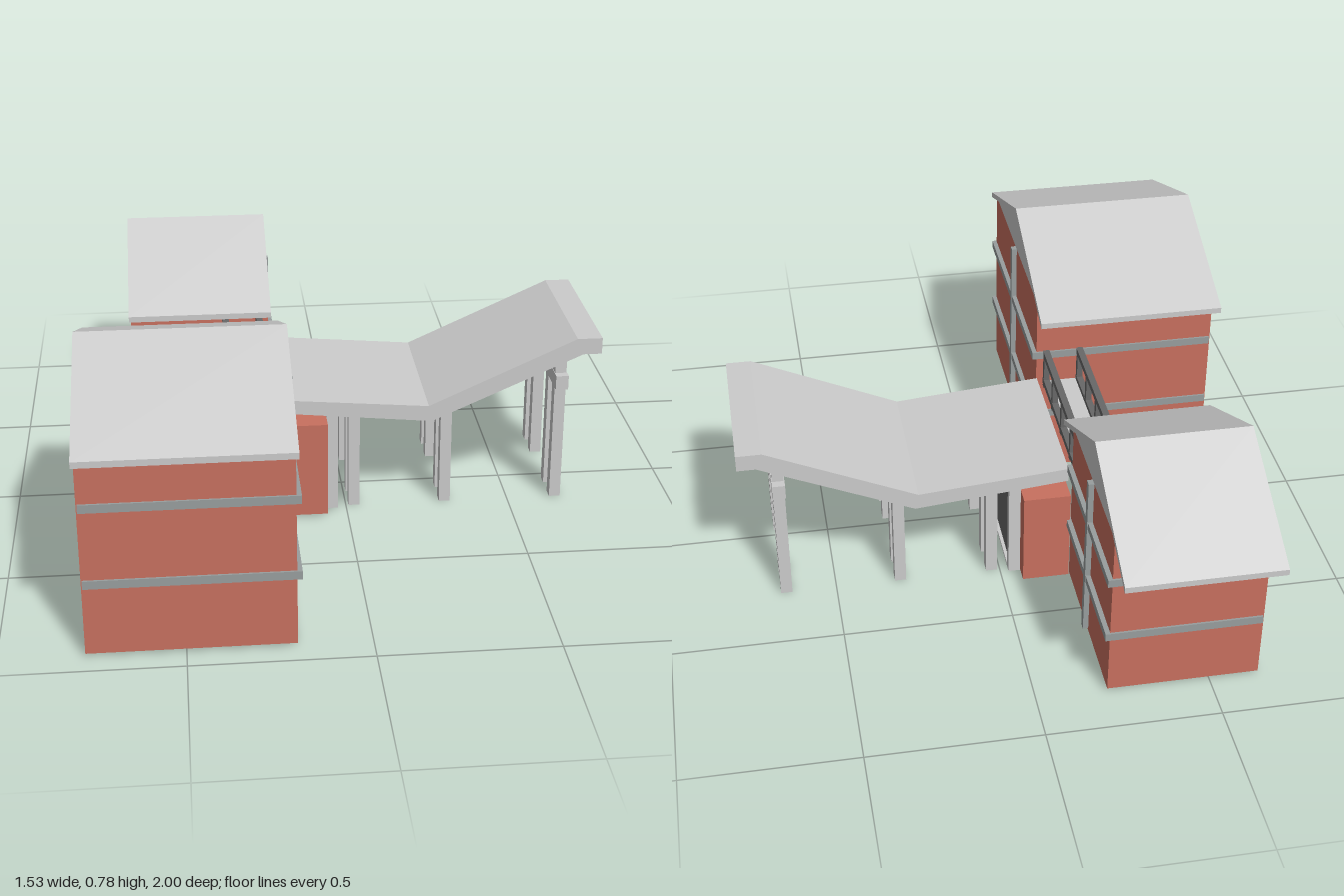
import * as THREE from 'three';

const mat = (color) => new THREE.MeshStandardMaterial({ color, flatShading: true });
const GREY = mat(0xcccccc), BRICK = mat(0xc8705f), TRIM = mat(0x989e9e), DARK = mat(0x686868);

// Box given by its min and max on each axis
function box(parent, name, material, x0, x1, y0, y1, z0, z1) {
  const m = new THREE.Mesh(new THREE.BoxGeometry(x1 - x0, y1 - y0, z1 - z0), material);
  m.position.set((x0 + x1) / 2, (y0 + y1) / 2, (z0 + z1) / 2);
  m.name = name;
  parent.add(m);
}

function extrude(points, depth) {
  const shape = new THREE.Shape(points.map(([a, b]) => new THREE.Vector2(a, b)));
  return new THREE.ExtrudeGeometry(shape, { depth, bevelEnabled: false });
}

// Profile of [z, y] points swept along x
function sweepX(parent, name, material, points, x0, x1) {
  const g = extrude(points.map(([z, y]) => [-z, y]), x1 - x0);
  g.rotateY(Math.PI / 2).translate(x0, 0, 0);
  const m = new THREE.Mesh(g, material);
  m.name = name;
  parent.add(m);
}

// Gabled brick block with trim bands and a chevron roof
function building(o) {
  const g = new THREE.Group();
  g.name = o.name;
  const { x0, x1, z0, z1, wall, ridge, ridgeZ, eave, e0, e1, bands } = o;
  box(g, 'brickWalls', BRICK, x0 + 0.003, x1 - 0.004, 0.012, wall, z0, z1);
  sweepX(g, 'gable', GREY, [[z0, wall], [ridgeZ, ridge - 0.016], [z1, wall]], x0 + 0.003, x1 - 0.004);
  const t = 0.018;
  sweepX(g, 'roof', GREY, [[e0, eave], [ridgeZ, ridge], [e1, eave],
    [e1, eave - t], [ridgeZ, ridge - t], [e0, eave - t]], x0, x1);
  for (const y of bands) {
    box(g, 'trimBand', TRIM, x0 + 0.006, x1 + 0.01, y - 0.012, y + 0.012, z0 - 0.006, z1 + 0.006);
  }
  const c = (z0 + z1) / 2;
  box(g, 'verticalTrim', TRIM, x1 - 0.01, x1 + 0.012, 0.02, wall, c - 0.011, c + 0.011);
  return g;
}

export function createModel() {
  const model = new THREE.Group();
  model.name = 'schoolBuildings';

  model.add(building({ name: 'tallBuilding', x0: -0.77, x1: -0.2, z0: 0.21, z1: 0.93, wall: 0.632,
    ridge: 0.78, ridgeZ: 0.563, eave: 0.612, e0: 0.125, e1: 1, bands: [0.445, 0.222] }));
  model.add(building({ name: 'lowBuilding', x0: -0.645, x1: -0.2, z0: -0.86, z1: -0.34, wall: 0.545,
    ridge: 0.69, ridgeZ: -0.612, eave: 0.497, e0: -1, e1: -0.225, bands: [0.4, 0.208] }));

  // Entrance block with door frame and dark doors
  box(model, 'entranceBlock', BRICK, -0.2, -0.06, 0.01, 0.308, -0.35, 0.215);
  box(model, 'doors', DARK, -0.065, -0.035, 0.005, 0.308, -0.275, 0.145);
  for (const z of [-0.285, 0.155]) {
    box(model, 'doorPost', GREY, -0.06, -0.025, 0.003, 0.314, z - 0.012, z + 0.012);
  }
  box(model, 'threshold', GREY, -0.06, -0.025, 0.003, 0.012, -0.28, 0.15);

  // Bent canopy
  const canopy = new THREE.Mesh(extrude([[-0.2, 0.335], [0.257, 0.29], [0.71, 0.49], [0.765, 0.49],
    [0.765, 0.54], [0.69, 0.54], [0.247, 0.34], [-0.2, 0.378]], 0.49), GREY);
  canopy.position.z = -0.31;
  canopy.name = 'canopy';
  model.add(canopy);

  // Three rows of paired columns under the canopy
  const mid = -0.065;
  for (const [x, top] of [[0.025, 0.316], [0.305, 0.315], [0.65, 0.475]]) {
    for (const dz of [-0.2, -0.108, 0.108, 0.2]) {
      const z = mid + dz;
      box(model, 'column', GREY, x - 0.017, x + 0.017, 0.003, top, z - 0.018, z + 0.018);
    }
  }
  box(model, 'crossBeam', GREY, 0.631, 0.669, 0.375, 0.42, mid - 0.243, mid + 0.243);

  // Footbridge between the two buildings
  const bridge = new THREE.Group();
  bridge.name = 'footbridge';
  box(bridge, 'bridgeDeck', GREY, -0.345, -0.23, 0.325, 0.345, -0.345, 0.215);
  for (const x of [-0.342, -0.235]) {
    for (const y of [0.35, 0.45]) {
      box(bridge, 'rail', DARK, x - 0.01, x + 0.01, y - 0.01, y + 0.01, -0.345, 0.215);
    }
    for (let i = 0; i < 5; i++) {
      const z = -0.33 + i * 0.1325;
      box(bridge, 'railPost', DARK, x - 0.009, x + 0.009, 0.33, 0.458, z - 0.009, z + 0.009);
    }
  }
  model.add(bridge);
  return model;
}
